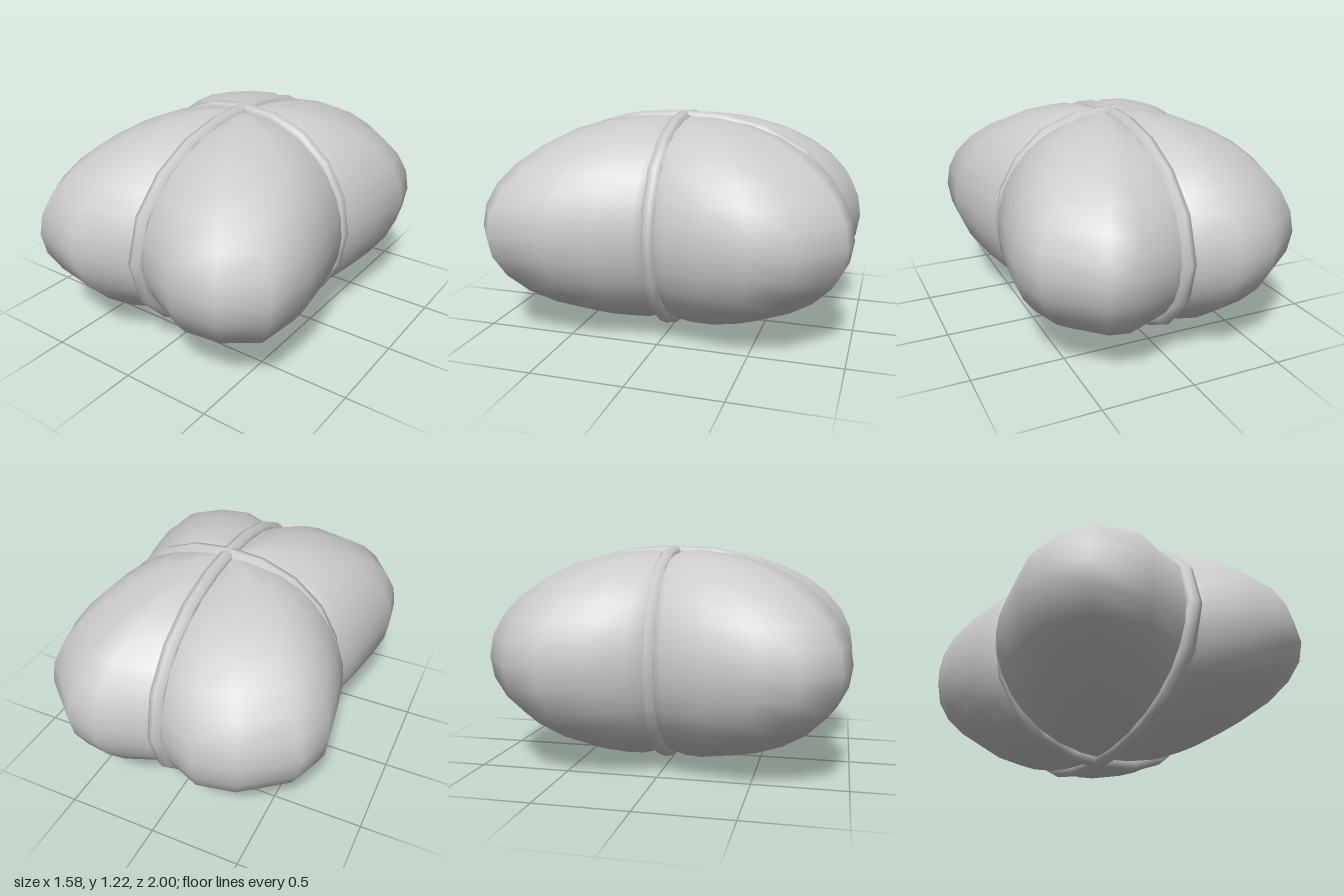
import * as THREE from 'three';

const MID = 0.613, HALF = 0.597;

// Each lobe's signs of x and z, and its equator from side seam to front or back seam: [|x|, |z|]
const LOBES = [
  { name: 'frontLeftLobe', sx: 1, sz: 1, equator: [
    [0.64, 0], [0.7, 0.06], [0.745, 0.3], [0.785, 0.53], [0.765, 0.84], [0.56, 0.98], [0.31, 1], [0.07, 0.89], [0, 0.86]] },
  { name: 'frontRightLobe', sx: -1, sz: 1, equator: [
    [0.62, 0], [0.7, 0.07], [0.745, 0.3], [0.79, 0.55], [0.76, 0.76], [0.63, 0.95], [0.33, 1], [0.07, 0.88], [0, 0.86]] },
  { name: 'backRightLobe', sx: -1, sz: -1, equator: [
    [0.62, 0], [0.715, 0.11], [0.75, 0.3], [0.79, 0.56], [0.72, 0.76], [0.47, 0.95], [0.25, 0.99], [0.06, 0.91], [0, 0.87]] },
  { name: 'backLeftLobe', sx: 1, sz: -1, equator: [
    [0.64, 0], [0.71, 0.1], [0.74, 0.3], [0.765, 0.54], [0.71, 0.76], [0.46, 0.98], [0.3, 1], [0.06, 0.91], [0, 0.87]] },
];

// One lobe: the equator shrinks to both poles, blunt at the seams and more pointed at the corner
function lobeGeometry({ sx, sz, equator }) {
  const rows = 16, cols = equator.length, pos = [], index = [];
  for (let i = 0; i <= rows; i++) {
    const t = -Math.PI / 2 + (Math.PI * i) / rows;
    const c = Math.max(Math.cos(t), 0);
    for (const [ex, ez] of equator) {
      const taper = 0.85 + 0.27 * Math.min(ex, ez) + (t < 0 ? 0.06 : 0);
      const r = Math.pow(c, taper), x = ex * r, z = ez * r;
      const dip = 1 - 0.06 * Math.exp(-((Math.min(x, z) / 0.09) ** 2));
      pos.push(sx * x, MID + HALF * dip * Math.sin(t), sz * z);
    }
  }
  const tri = (a, b, c) => (sx * sz > 0 ? index.push(a, b, c) : index.push(a, c, b));
  for (let i = 0; i < rows; i++) {
    for (let j = 0; j < cols - 1; j++) {
      const a = i * cols + j, b = a + 1, c = a + cols, d = c + 1;
      if (i > 0) tri(a, c, b);
      if (i < rows - 1) tri(b, c, d);
    }
  }
  const g = new THREE.BufferGeometry();
  g.setAttribute('position', new THREE.Float32BufferAttribute(pos, 3));
  g.setIndex(index);
  g.computeVertexNormals();
  return g;
}

// A cord loop lying in the groove between lobes; place(u, s) maps the ring
function cordGeometry(reach, place) {
  const pts = [];
  for (let i = 0; i < 24; i++) {
    const t = (i / 24) * Math.PI * 2, c = Math.cos(t), s = Math.sin(t);
    pts.push(place(reach * Math.sign(c) * Math.pow(Math.abs(c), 0.87), s));
  }
  const curve = new THREE.CatmullRomCurve3(pts, true);
  return new THREE.TubeGeometry(curve, 20, 0.045, 7, true);
}

export function createModel() {
  const model = new THREE.Group();
  model.name = 'tiedBundle';
  const material = new THREE.MeshStandardMaterial({ color: 0xcccccc, side: THREE.DoubleSide });
  const add = (name, geometry) => {
    const mesh = new THREE.Mesh(geometry, material);
    mesh.name = name;
    model.add(mesh);
  };

  // Four bulging lobes
  for (const lobe of LOBES) add(lobe.name, lobeGeometry(lobe));

  // Two crossing cords, the lengthwise one leaning slightly
  const y = (s) => MID - 0.005 + 0.563 * s;
  add('lengthwiseCord', cordGeometry(0.88, (u, s) => new THREE.Vector3(0.017 * s - 0.002, y(s), u - 0.006)));
  add('crosswiseCord', cordGeometry(0.635, (u, s) => new THREE.Vector3(u + 0.017, y(s), -0.013)));
  return model;
}
